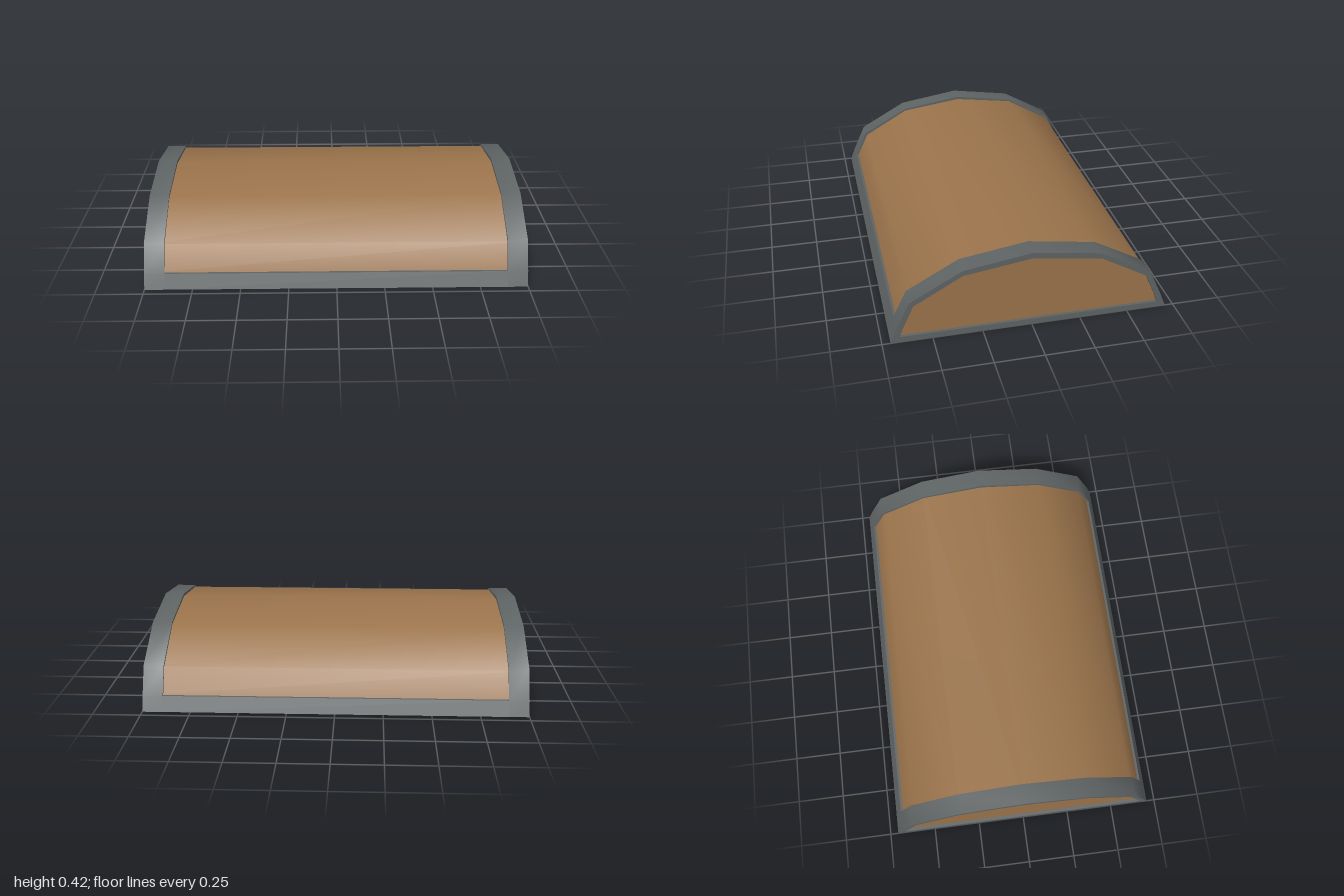
import * as THREE from 'three';
import { toCreasedNormals } from 'three/addons/utils/BufferGeometryUtils.js';

// Half profiles [z, y] from foot to crown
const OUTER = [[0.708, 0], [0.677, 0.077], [0.61, 0.221], [0.345, 0.369], [0, 0.422]];
const INNER = [[0.672, 0], [0.645, 0.077], [0.59, 0.2], [0.345, 0.34], [0, 0.39]];
const BOARD_TOP = [[0.688, 0.02], [0.664, 0.077], [0.6, 0.211], [0.345, 0.358], [0, 0.406]];
const BOARD_UNDER = [[0.668, 0.02], [0.648, 0.077], [0.592, 0.202], [0.345, 0.343], [0, 0.393]];

// Whole arch from one foot over the crown to the other
const fullArch = (half) => [...half, ...half.slice(0, -1).reverse().map(([z, y]) => [-z, y])];
const archBand = (outer, inner) => [...fullArch(outer), ...fullArch(inner).reverse()];

// Extrudes a [z, y] outline along x, smooth over the arch and sharp at the rims
function extrudeX(points, x0, x1) {
  const shape = new THREE.Shape(points.map(([z, y]) => new THREE.Vector2(z, y)));
  const geometry = new THREE.ExtrudeGeometry(shape, { depth: x1 - x0, bevelEnabled: false });
  geometry.translate(0, 0, x0).rotateY(Math.PI / 2);
  return toCreasedNormals(geometry, 0.8);
}

export function createModel() {
  const group = new THREE.Group();
  const wood = new THREE.MeshStandardMaterial({ name: 'wood', color: 0x9a734b });
  const iron = new THREE.MeshStandardMaterial({ name: 'iron', color: 0x5e6363 });

  const add = (name, geometry, material) => {
    const mesh = new THREE.Mesh(geometry, material);
    mesh.name = name;
    group.add(mesh);
  };

  // Curved wooden cover, set between the faces of the metal frame
  add('curvedCover', extrudeX(archBand(BOARD_TOP, BOARD_UNDER), -0.98, 0.98), wood);

  for (const side of [1, -1]) {
    const label = side > 0 ? 'left' : 'right';
    // Orders a pair of distances from the middle along x for this side
    const span = (near, far) => (side > 0 ? [near, far] : [-far, -near]);

    // Arched metal band at each end
    add(label + 'ArchBand', extrudeX(archBand(OUTER, INNER), ...span(0.895, 1)), iron);

    // Recessed wooden end panel
    add(label + 'EndPanel', extrudeX(fullArch(BOARD_TOP), ...span(0.973, 0.985)), wood);

    // Metal rail under each end panel
    const endRail = new THREE.BoxGeometry(0.035, 0.03, 1.34);
    endRail.translate(side * 0.9825, 0.015, 0);
    add(label + 'EndRail', endRail, iron);

    // Long sloping metal rail along the front and back
    const section = [OUTER[0], OUTER[1], INNER[1], INNER[0]].map(([z, y]) => [side * z, y]);
    add(side > 0 ? 'frontRail' : 'backRail', extrudeX(section, -0.895, 0.895), iron);
  }

  return group;
}
